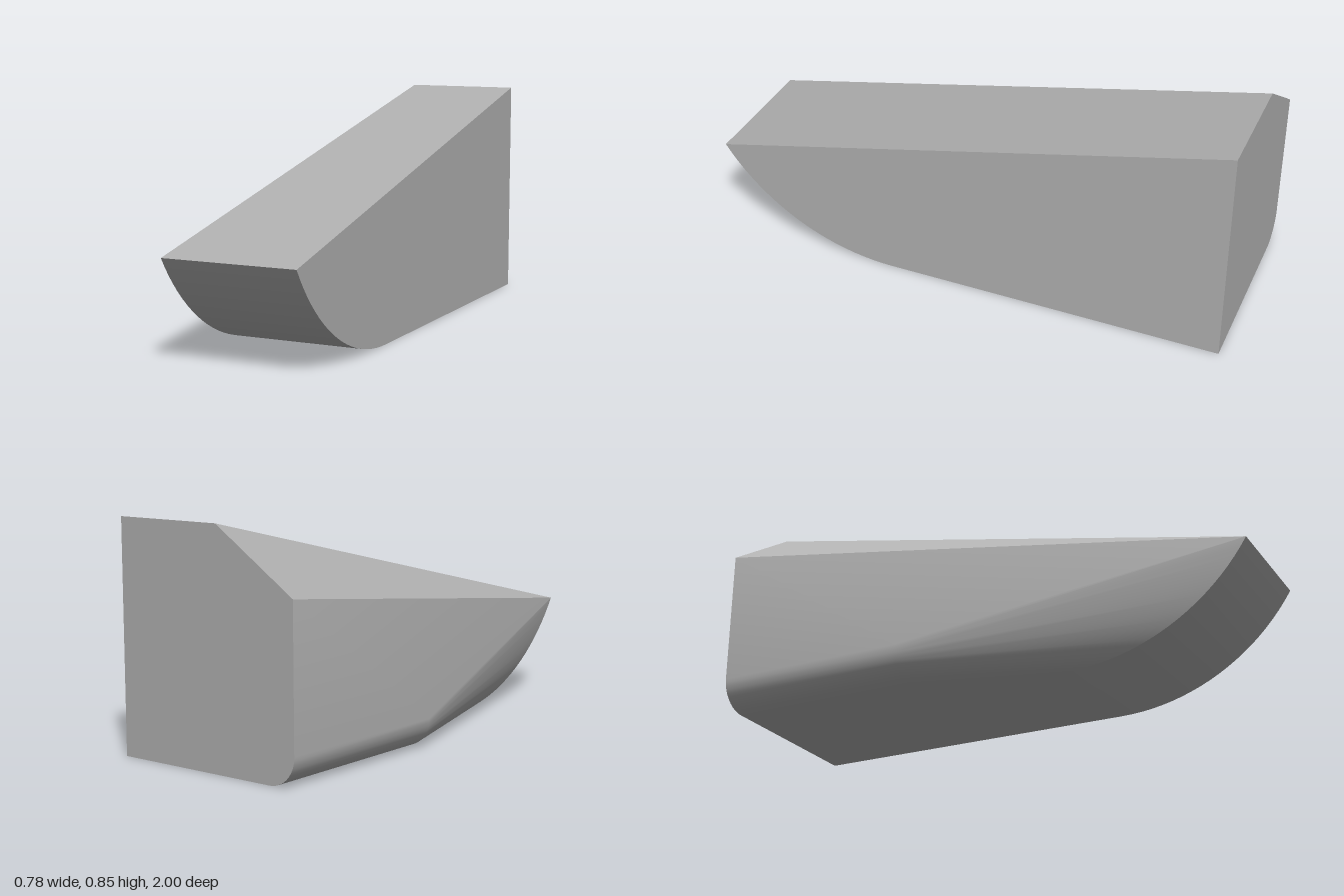
import * as THREE from 'three';
import { ConvexGeometry } from 'three/addons/geometries/ConvexGeometry.js';
import { toCreasedNormals } from 'three/addons/utils/BufferGeometryUtils.js';

const RIGHT = 0.39, LEFT = -0.39, NOSE_LEFT = -0.115;
const BACK = -1, FRONT = 1, TIP_Y = 0.385;

export function createModel() {
  const grey = new THREE.MeshStandardMaterial({ color: 0xb0b0b0 });
  grey.name = 'grey';

  const points = [];
  const add = (x, y, z) => points.push(new THREE.Vector3(x, y, z));

  // back face corners, with the chamfered upper corner
  add(RIGHT, 0, BACK);
  add(RIGHT, 0.848, BACK);
  add(-0.055, 0.848, BACK);
  add(LEFT, 0.625, BACK);

  // rounded lower corner, running from the back to where the side turns in
  const r = 0.11, cornerSteps = 12;
  for (const z of [BACK, -0.26]) {
    for (let i = 0; i <= cornerSteps; i++) {
      const a = (i / cornerSteps) * Math.PI / 2;
      add(LEFT + r - r * Math.sin(a), r - r * Math.cos(a), z);
    }
  }

  // nose curve, rising from the flat bottom to the tip
  const start = 0.3, run = FRONT - start, noseSteps = 20;
  const R = (run * run + TIP_Y * TIP_Y) / (2 * TIP_Y);
  const sweep = Math.asin(run / R);
  for (const x of [RIGHT, NOSE_LEFT]) {
    for (let i = 0; i <= noseSteps; i++) {
      const a = (i / noseSteps) * sweep;
      add(x, R - R * Math.cos(a), start + R * Math.sin(a));
    }
  }

  // skin around all the section curves
  const geometry = toCreasedNormals(new ConvexGeometry(points), THREE.MathUtils.degToRad(20));
  const body = new THREE.Mesh(geometry, grey);
  body.name = 'wedgeBody';

  const model = new THREE.Group();
  model.name = 'roundedWedge';
  model.add(body);
  return model;
}
